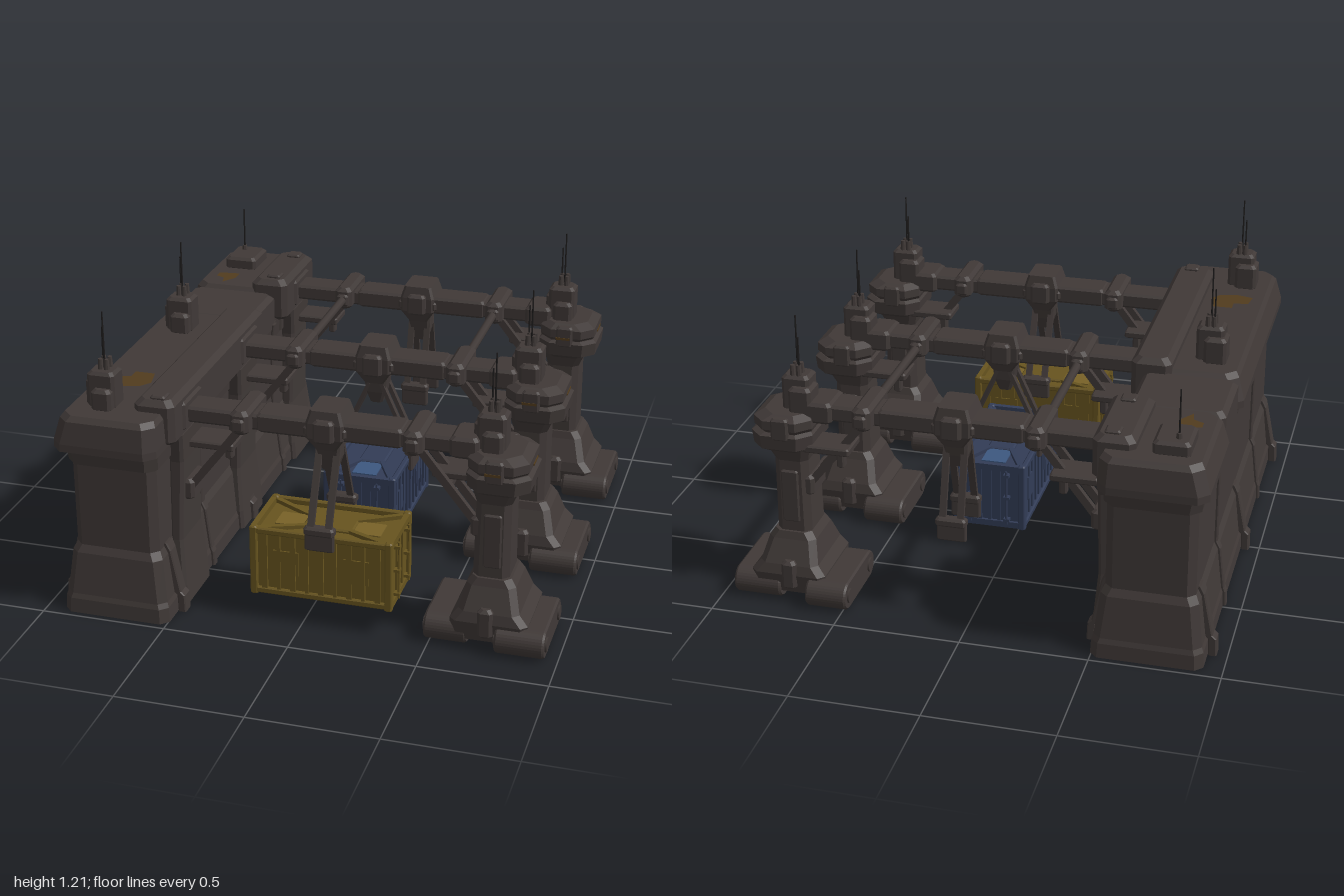
import * as THREE from 'three';

const mat = (name, color, side = THREE.FrontSide) => {
  const m = new THREE.MeshStandardMaterial({ color, side });
  m.name = name;
  return m;
};

export function createModel() {
  const steel = mat('dark steel', 0x403937, THREE.DoubleSide);
  const black = mat('antenna black', 0x1d1b1b);
  const yellow = mat('container yellow', 0x67541f);
  const brightYellow = mat('roof yellow', 0x786228);
  const blue = mat('container blue', 0x323c56);
  const brightBlue = mat('roof blue', 0x3d5880);
  const rust = mat('rust', 0x523c1e);
  const root = new THREE.Group();
  root.name = 'cargoGantryYard';

  const add = (parent, name, geo, m = steel) => {
    const mesh = new THREE.Mesh(geo, m);
    mesh.name = name;
    parent.add(mesh);
    return mesh;
  };
  const group = (parent, name, x = 0, y = 0, z = 0) => {
    const g = new THREE.Group();
    g.name = name;
    g.position.set(x, y, z);
    parent.add(g);
    return g;
  };
  // box given by its limits
  const box = (p, name, x0, x1, y0, y1, z0, z1, m) => {
    const g = new THREE.BoxGeometry(x1 - x0, y1 - y0, z1 - z0);
    g.translate((x0 + x1) / 2, (y0 + y1) / 2, (z0 + z1) / 2);
    add(p, name, g, m);
  };
  // stacked rectangular sections [y, x0, x1, z0, z1] with cut corners
  const loft = (p, name, sections, c = 0.02, m = steel, open = false) => {
    const pos = [], idx = [];
    for (const [y, x0, x1, z0, z1] of sections) {
      const ring = [[x1, z1 - c], [x1, z0 + c], [x1 - c, z0], [x0 + c, z0],
        [x0, z0 + c], [x0, z1 - c], [x0 + c, z1], [x1 - c, z1]];
      for (const [x, z] of ring) pos.push(x, y, z);
    }
    const top = (sections.length - 1) * 8;
    for (let s = 0; s < top; s += 8) {
      for (let j = 0; j < 8; j++) {
        const k = (j + 1) % 8;
        idx.push(s + j, s + k, s + 8 + k, s + j, s + 8 + k, s + 8 + j);
      }
    }
    for (let j = 1; j < 7; j++) {
      idx.push(top, top + j, top + j + 1);
      if (!open) idx.push(0, j + 1, j);
    }
    const indexed = new THREE.BufferGeometry();
    indexed.setAttribute('position', new THREE.Float32BufferAttribute(pos, 3));
    indexed.setIndex(idx);
    const g = indexed.toNonIndexed();
    g.computeVertexNormals();
    add(p, name, g, m);
  };
  // block with chamfered edges
  const block = (p, name, x0, x1, y0, y1, z0, z1, c = 0.012, m = steel) => loft(p, name, [
    [y0, x0 + c, x1 - c, z0 + c, z1 - c], [y0 + c, x0, x1, z0, z1],
    [y1 - c, x0, x1, z0, z1], [y1, x0 + c, x1 - c, z0 + c, z1 - c]], c, m);
  // square bar between two points
  const bar = (p, name, a, b, w, h = w, m = steel) => {
    const va = new THREE.Vector3(...a), vb = new THREE.Vector3(...b);
    const mesh = new THREE.Mesh(new THREE.BoxGeometry(w, h, va.distanceTo(vb)), m);
    mesh.name = name;
    mesh.position.copy(va).lerp(vb, 0.5);
    mesh.lookAt(vb);
    p.add(mesh);
  };
  const rod = (p, name, x, y0, y1, z, r0, r1, m, sides = 8) => {
    const g = new THREE.CylinderGeometry(r1, r0, y1 - y0, sides).toNonIndexed();
    g.computeVertexNormals();
    g.translate(x, (y0 + y1) / 2, z);
    add(p, name, g, m);
  };

  // stepped cabin with twin aerials, base at local y = 0
  const mast = (parent, x, y, z, h) => {
    const g = group(parent, 'mast', x, y, z);
    block(g, 'mastCabin', -0.055, 0.055, 0, h, -0.05, 0.05);
    block(g, 'mastSideBox', -0.07, 0.02, 0, h * 0.75, -0.08, 0.03);
    block(g, 'mastFrontBox', -0.03, 0.05, 0, h * 0.6, 0, 0.08);
    for (const [dz, t] of [[0.004, 0.23], [-0.028, 0.155]]) {
      for (const dx of [-0.012, 0.012]) rod(g, 'aerialSocket', dx, h - 0.01, h + 0.04, dz, 0.013, 0.009);
      rod(g, 'aerial', dz < 0 ? -0.014 : 0.004, h, h + t, dz, 0.004, 0.003, black, 6);
    }
  };

  // ---- wall: hollow shell, open underneath ----
  const wall = group(root, 'wall');
  const cx = -0.71;
  const profile = [[0, 0.215], [0.06, 0.212], [0.08, 0.205], [0.25, 0.185], [0.28, 0.17], [0.62, 0.17], [0.7, 0.18]];
  loft(wall, 'wallBody', profile.map(([y, w]) =>
    [y, cx - w, cx + w, -0.76 - w, 0.76 + w]), 0.03, steel, true);
  // upright ribs along the profile and stout feet at the plinth, on both faces
  const rib = (name, prof, side, z, w, t) => loft(wall, name, prof.map(([y, h]) =>
    [y, cx + side * h - t, cx + side * h + t, z - w, z + w]), 0.005);
  for (const side of [-1, 1]) {
    for (const z of [-0.47, 0.45]) rib('wallRib', profile, side, z, 0.018, 0.012);
    for (const z of [-0.83, 0, 0.83]) {
      rib('plinthFoot', [[0, 0.233], [0.07, 0.23], [0.085, 0.215], [0.26, 0.18], [0.29, 0.165]], side, z, 0.028, 0.016);
    }
  }
  for (const [z0, z1] of [[-1, -0.49], [-0.19, 1]]) {
    loft(wall, 'wallCap', [
      [0.63, -0.89, -0.53, z0 + 0.05, z1 - 0.05], [0.69, -0.9, -0.525, z0 + 0.04, z1 - 0.04],
      [0.7, -0.925, -0.513, z0, z1], [0.73, -0.925, -0.513, z0, z1],
      [0.82, -0.9, -0.518, z0 + 0.012, z1 - 0.012],
      [0.84, -0.885, -0.53, z0 + 0.03, z1 - 0.03]], 0.04);
  }
  block(wall, 'wallTopLink', -0.905, -0.53, 0.66, 0.83, -0.51, -0.17, 0.02);
  block(wall, 'longRidge', -0.64, -0.48, 0.7, 0.885, -0.2, 0.865, 0.022);
  block(wall, 'shortRidge', -0.64, -0.48, 0.7, 0.885, -0.91, -0.5, 0.022);
  for (const z of [-0.85, -0.57, 0.81]) {
    block(wall, 'ridgeHatch', -0.58, -0.52, 0.88, 0.897, z - 0.03, z + 0.03, 0.006);
  }
  block(wall, 'roofHatch', -0.84, -0.7, 0.83, 0.89, -0.91, -0.735, 0.012);
  rod(wall, 'roofAerialSocket', -0.79, 0.88, 0.91, -0.86, 0.014, 0.01);
  rod(wall, 'roofAerial', -0.79, 0.89, 1.08, -0.86, 0.004, 0.003, black, 6);
  mast(wall, -0.765, 0.83, 0.82, 0.15);
  mast(wall, -0.765, 0.83, 0, 0.15);
  // rust stains on the wall roof
  const stain = (pts) => {
    const g = new THREE.ShapeGeometry(new THREE.Shape(pts.map(([x, z]) => new THREE.Vector2(x, -z))));
    g.rotateX(-Math.PI / 2);
    g.translate(0, 0.842, 0);
    add(wall, 'rustStain', g, rust);
  };
  stain([[-0.84, 0.64], [-0.83, 0.57], [-0.77, 0.56], [-0.77, 0.51], [-0.69, 0.51], [-0.67, 0.6], [-0.7, 0.64], [-0.77, 0.66]]);
  stain([[-0.84, -0.66], [-0.75, -0.67], [-0.75, -0.61], [-0.79, -0.55], [-0.8, -0.6], [-0.84, -0.62]]);

  // ---- support tower, centred on local z = 0 ----
  const tower = (parent) => {
    const g = group(parent, 'tower');
    for (const [x0, x1, zc] of [[0.48, 0.645, -0.025], [0.76, 0.95, 0.013]]) {
      const s = new THREE.Shape();
      s.absarc(0.125, 0.057, 0.05, -Math.PI / 2, Math.PI / 2, false);
      s.absarc(-0.125, 0.057, 0.05, Math.PI / 2, Math.PI * 1.5, false);
      const geo = new THREE.ExtrudeGeometry(s, { depth: x1 - x0 - 0.016, bevelThickness: 0.008,
        bevelSize: 0.006, bevelSegments: 1, curveSegments: 8 });
      geo.rotateY(Math.PI / 2);
      geo.translate(x0 + 0.008, 0, zc);
      add(g, 'track', geo);
      for (const z of [-0.125, 0.125]) {
        const hub = new THREE.CylinderGeometry(0.03, 0.03, x1 - x0 + 0.014, 10);
        hub.rotateZ(Math.PI / 2);
        hub.translate((x0 + x1) / 2, 0.057, zc + z);
        add(g, 'trackWheel', hub);
      }
    }
    loft(g, 'towerFoot', [[0.04, 0.58, 0.87, -0.15, 0.15], [0.12, 0.58, 0.88, -0.165, 0.165],
      [0.16, 0.61, 0.845, -0.155, 0.155], [0.25, 0.63, 0.82, -0.11, 0.11], [0.28, 0.65, 0.8, -0.1, 0.1]], 0.025);
    for (const z of [-0.14, 0.14]) block(g, 'footClamp', 0.69, 0.75, 0.06, 0.18, z - 0.035, z + 0.035);
    loft(g, 'towerShaft', [[0.27, 0.65, 0.79, -0.09, 0.09], [0.58, 0.655, 0.79, -0.085, 0.085],
      [0.65, 0.64, 0.82, -0.11, 0.11]], 0.025);
    for (const z of [-0.085, 0.085]) block(g, 'shaftPanel', 0.69, 0.76, 0.32, 0.54, z - 0.01, z + 0.01, 0.006);
    loft(g, 'lowerCollar', [[0.63, 0.64, 0.83, -0.11, 0.11], [0.65, 0.625, 0.86, -0.14, 0.14],
      [0.705, 0.62, 0.865, -0.145, 0.145], [0.715, 0.63, 0.85, -0.13, 0.13]], 0.05);
    loft(g, 'upperCollar', [[0.71, 0.63, 0.84, -0.125, 0.125], [0.73, 0.625, 0.855, -0.14, 0.14],
      [0.765, 0.625, 0.855, -0.14, 0.14], [0.785, 0.64, 0.82, -0.11, 0.11]], 0.05);
    for (const z of [-0.13, 0.13]) block(g, 'collarLug', 0.7, 0.77, 0.69, 0.78, z - 0.02, z + 0.02, 0.008);
    box(g, 'rustMark', 0.7, 0.76, 0.725, 0.735, 0.146, 0.152, rust);
    box(g, 'rustMark', 0.853, 0.858, 0.728, 0.736, -0.06, 0.02, rust);
    mast(g, 0.7, 0.77, 0, 0.15);
  };

  // ---- claw legs hanging below the trolley; spread is the half gap ----
  const claw = (parent, spread, turned) => {
    const g = group(parent, 'claw', 0.075, 0, 0);
    if (turned) g.rotation.y = Math.PI / 2;
    for (const s of [-1, 1]) {
      for (const x of [-0.035, 0.035]) {
        bar(g, 'clawLeg', [x, 0.7, s * 0.025], [x, 0.42, s * spread], 0.026, 0.016);
      }
      block(g, 'clawShoulder', -0.06, 0.06, 0.395, 0.43, s * spread - 0.025, s * spread + 0.02, 0.008);
      block(g, 'clawPad', -0.058, 0.058, 0.33, 0.43, s * spread - 0.01, s * spread + 0.012, 0.006);
    }
    loft(g, 'clawPivot', [[0.61, -0.03, 0.03, -0.025, 0.025], [0.66, -0.045, 0.045, -0.04, 0.04],
      [0.74, -0.05, 0.05, -0.05, 0.05]], 0.01);
  };

  // ---- shipping container, long axis on local x ----
  const container = (parent, m, roof, turned) => {
    const g = group(parent, 'container', 0.075, 0, 0);
    if (turned) g.rotation.y = Math.PI / 2;
    const L = 0.28, W = 0.148, y0 = 0.11, y1 = 0.39;
    box(g, 'containerShell', -L + 0.012, L - 0.012, y0 + 0.005, y1 - 0.025, -W + 0.012, W - 0.012, m);
    for (const z of [-1, 1]) {
      const side = z * (W - 0.01);
      for (const y of [y0 + 0.013, y1 - 0.013]) {
        block(g, 'longRail', -L, L, y - 0.013, y + 0.013, side - 0.012, side + 0.01, 0.005, m);
      }
      for (let i = -4; i <= 4; i++) {
        const w = i % 2 ? 0.007 : 0.011, x = i * 0.056;
        box(g, 'sideRib', x - w, x + w, y0 + 0.02, y1 - 0.02, side - 0.005, side + 0.007, m);
      }
      for (const x of [-0.14, 0.14]) {
        box(g, 'sidePanel', x - 0.05, x + 0.05, 0.2, 0.3, side - 0.004, side + 0.004, m);
      }
      for (const x of [-1, 1]) {
        const px = x * (L - 0.013), pz = z * (W - 0.013), ex = x * (L + 0.004);
        block(g, 'cornerPost', px - 0.015, px + 0.015, y0 - 0.006, y1 + 0.004, pz - 0.015, pz + 0.015, 0.005, m);
        bar(g, 'roofBrace', [x * 0.09, y1 - 0.02, z * 0.045], [x * (L - 0.02), y1 - 0.012, z * (W - 0.02)], 0.02, 0.016, m);
        rod(g, 'lockRod', x * (L + 0.01), y0 + 0.02, y1 - 0.02, z * 0.075, 0.005, 0.005, m, 6);
        for (const y of [0.15, 0.25, 0.35]) {
          box(g, 'lockBracket', ex - 0.012, ex + 0.012, y - 0.006, y + 0.006, z * 0.075 - 0.012, z * 0.075 + 0.012, m);
        }
      }
    }
    for (const x of [-1, 1]) {
      const end = x * (L - 0.01);
      for (const y of [y0 + 0.013, y1 - 0.013]) {
        box(g, 'endRail', end - 0.012, end + 0.01, y - 0.013, y + 0.013, -W + 0.01, W - 0.01, m);
      }
      for (const z of [-0.04, 0, 0.04]) box(g, 'endRib', end - 0.005, end + 0.006, y0, y1 - 0.02, z - 0.007, z + 0.007, m);
      box(g, 'roofPlate', Math.min(x * 0.1, x * 0.21), Math.max(x * 0.1, x * 0.21), y1 - 0.027, y1 - 0.02, -0.05, 0.05, roof);
    }
    block(g, 'roofRidge', -0.1, 0.1, y1 - 0.03, y1 - 0.012, -0.055, 0.055, 0.006, m);
  };

  // ---- three gantries ----
  for (const z of [-0.715, 0, 0.67]) {
    const g = group(root, 'gantry', 0, 0, z);
    tower(g);
    block(g, 'beam', -0.5, 0.65, 0.755, 0.82, -0.063, 0.063, 0.01);
    block(g, 'beamSleeve', -0.2, 0.37, 0.75, 0.825, -0.067, 0.067, 0.01);
    block(g, 'wallSocket', -0.53, -0.47, 0.73, 0.85, -0.1, 0.1);
    block(g, 'towerSocket', 0.55, 0.66, 0.745, 0.83, -0.08, 0.08);
    // wall buttress below the beam
    loft(g, 'buttress', [[0, -0.51, -0.475, -0.13, 0.13], [0.08, -0.525, -0.48, -0.13, 0.13],
      [0.27, -0.545, -0.495, -0.11, 0.11], [0.6, -0.545, -0.485, -0.1, 0.1], [0.72, -0.545, -0.478, -0.12, 0.12]], 0.012);
    // joints, braces and walkways at each end: [joint x, wall or tower x, direction]
    for (const [jx, ex, d] of [[-0.25, -0.49, -1], [0.42, 0.67, 1]]) {
      block(g, 'beamJoint', jx - 0.037, jx + 0.037, 0.75, 0.845, -0.12, 0.12, 0.015);
      block(g, 'jointPin', jx - 0.025, jx + 0.025, 0.77, 0.82, -0.135, 0.135, 0.008);
      block(g, 'braceBracket', ex - 0.035, ex + 0.035, 0.43, 0.515, -0.075, 0.075, 0.012);
      for (const s of [-1, 1]) {
        bar(g, 'brace', [jx, 0.77, s * 0.045], [ex, 0.46, s * 0.045], 0.024, 0.03);
      }
      bar(g, 'braceTie', [(jx + ex) / 2, 0.615, -0.05], [(jx + ex) / 2, 0.615, 0.05], 0.022);
      const a = Math.min(jx + d * 0.055, ex), b = Math.max(jx + d * 0.055, ex);
      block(g, 'walkway', a, b, 0.635, 0.665, -0.11, 0.03, 0.006);
      block(g, 'walkwayLamp', jx + d * 0.1 - 0.015, jx + d * 0.1 + 0.015, 0.57, 0.64, -0.08, -0.04, 0.006);
    }
    // trolley
    loft(g, 'trolley', [[0.71, 0.035, 0.115, -0.07, 0.07], [0.76, 0, 0.148, -0.085, 0.085],
      [0.82, 0, 0.148, -0.085, 0.085], [0.87, 0.015, 0.133, -0.075, 0.075]], 0.01);
    block(g, 'trolleyAxle', 0.035, 0.115, 0.75, 0.84, -0.11, 0.11, 0.01);
    block(g, 'trolleyRim', -0.01, 0.158, 0.765, 0.805, -0.08, 0.08, 0.008);
    const turned = z === 0;
    claw(g, z < -0.5 ? 0.1 : 0.152, turned);
    if (z > -0.5) container(g, turned ? blue : yellow, turned ? brightBlue : brightYellow, turned);
  }

  // tie rods between the rear and middle gantries
  for (const x of [-0.25, 0.42]) {
    const geo = new THREE.CylinderGeometry(0.018, 0.018, 0.5, 8);
    geo.rotateX(Math.PI / 2);
    geo.translate(x, 0.795, -0.355);
    add(root, 'tieRod', geo);
  }
  return root;
}
